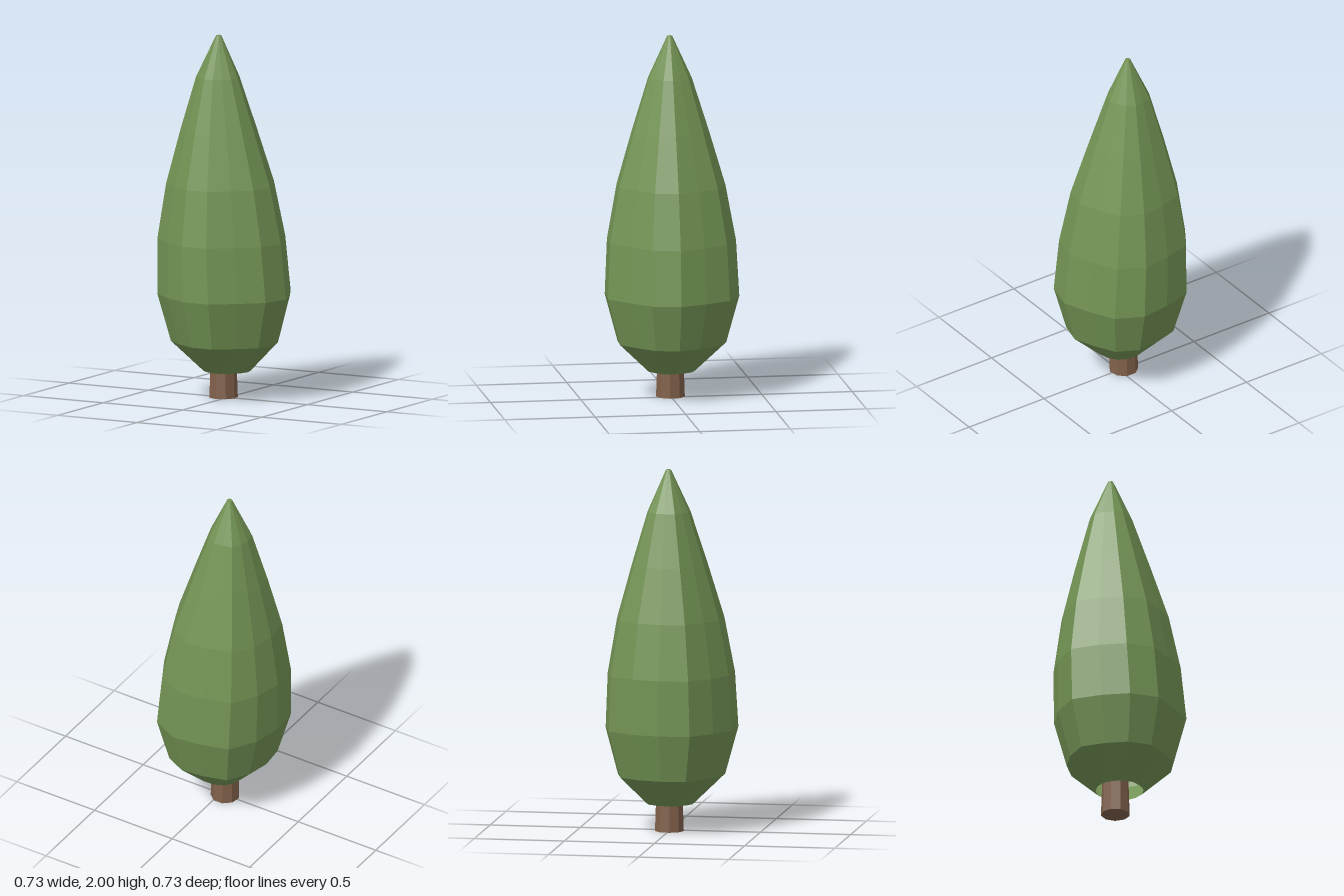
import * as THREE from 'three';

// One foliage ring per row: height, radius, sideways drift of the centre
const RINGS = [
  [0.15, 0.132, -0.005], [0.31, 0.295, 0], [0.57, 0.365, 0], [0.875, 0.35, -0.018],
  [1.18, 0.295, -0.03], [1.48, 0.208, -0.045], [1.77, 0.118, -0.057], [2, 0.014, -0.058],
];
// Uneven radius around the crown, counted from +x towards +z
const BUMPS = [1, 0.99, 0.92, 1.02, 1, 0.97, 1.06, 1, 1, 1.05, 0.97, 1.02, 1.01, 0.93];

function crownGeometry() {
  const n = BUMPS.length;
  const positions = [];
  const index = [];
  RINGS.forEach(([y, r, cx], i) => {
    // The bumps fade out towards the base and tip
    const strength = i === 0 || i === RINGS.length - 1 ? 0.3 : 1;
    BUMPS.forEach((b, j) => {
      const a = (j / n) * Math.PI * 2;
      const rr = r * (1 + (b - 1) * strength);
      positions.push(cx + rr * Math.cos(a), y, rr * Math.sin(a));
    });
  });
  for (let i = 0; i < RINGS.length - 1; i++) {
    for (let j = 0; j < n; j++) {
      const a = i * n + j;
      const b = i * n + ((j + 1) % n);
      index.push(a, a + n, b, b, a + n, b + n);
    }
  }
  // Closed tip; the base stays open around the trunk
  const top = (RINGS.length - 1) * n;
  for (let j = 1; j < n - 1; j++) index.push(top, top + j + 1, top + j);

  const g = new THREE.BufferGeometry();
  g.setAttribute('position', new THREE.Float32BufferAttribute(positions, 3));
  g.setIndex(index);
  const flat = g.toNonIndexed();
  flat.computeVertexNormals();
  return flat;
}

export function createModel() {
  const leafGreen = new THREE.MeshStandardMaterial({
    name: 'leaf green', color: 0x739354, flatShading: true, side: THREE.DoubleSide,
  });
  const barkBrown = new THREE.MeshStandardMaterial({
    name: 'bark brown', color: 0x80604a, flatShading: true,
  });

  const tree = new THREE.Group();
  tree.name = 'cypressTree';

  // Tall leaning crown
  const crown = new THREE.Mesh(crownGeometry(), leafGreen);
  crown.name = 'crown';
  tree.add(crown);

  // Short tapered trunk reaching up inside the crown
  const trunk = new THREE.Mesh(new THREE.CylinderGeometry(0.066, 0.08, 0.4, 9), barkBrown);
  trunk.name = 'trunk';
  trunk.position.set(-0.03, 0.2, 0);
  tree.add(trunk);

  return tree;
}
